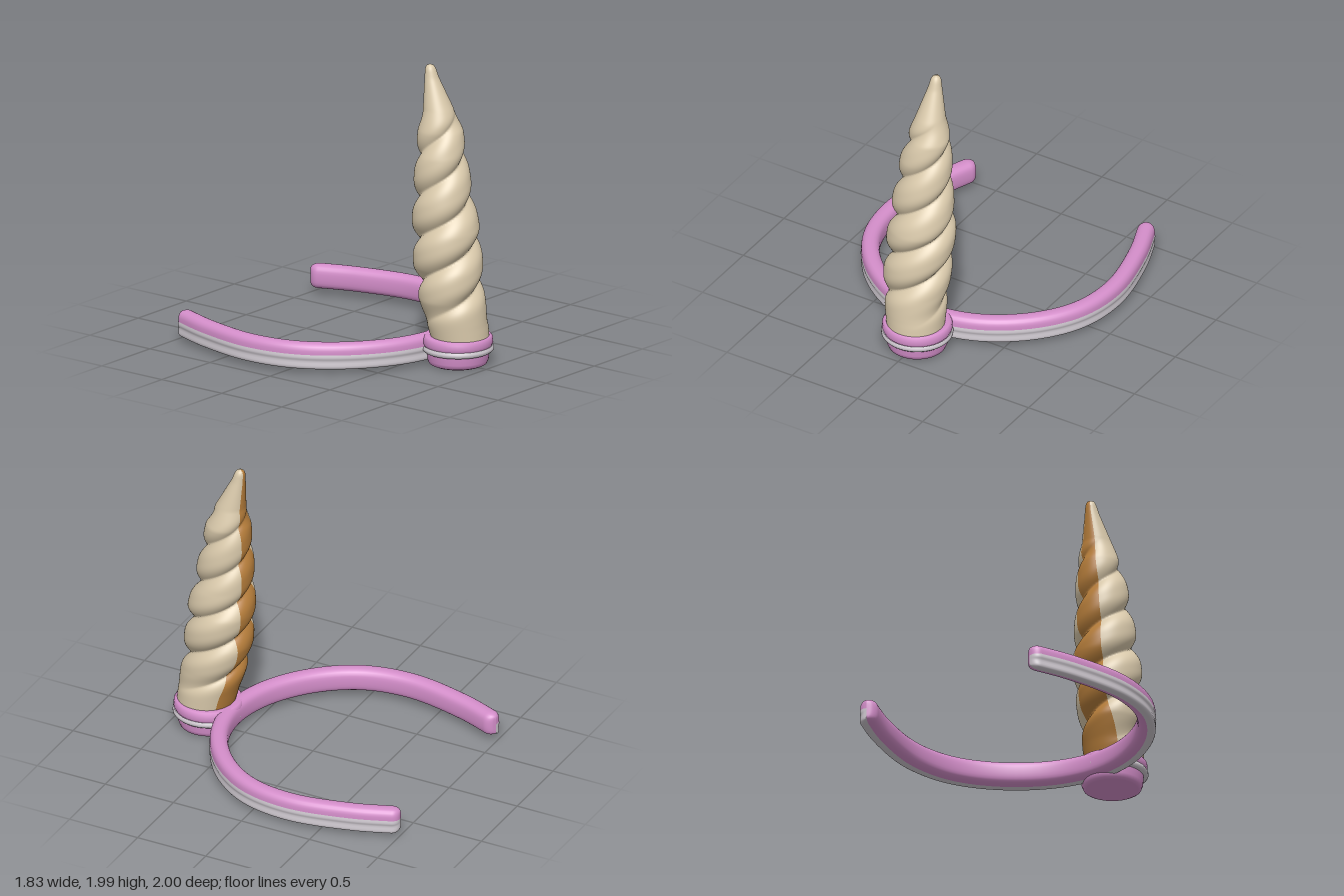
import * as THREE from 'three';

const mat = (name, color, side = THREE.FrontSide) => {
  const m = new THREE.MeshStandardMaterial({ color, side });
  m.name = name;
  return m;
};

// Grid surface: fn(u, v) -> [x, y, z]; the outside is du x dv.
function surface(nu, nv, fn) {
  const pos = [], idx = [];
  for (let j = 0; j <= nv; j++) for (let i = 0; i <= nu; i++) pos.push(...fn(i / nu, j / nv));
  for (let j = 0; j < nv; j++) for (let i = 0; i < nu; i++) {
    const a = j * (nu + 1) + i, b = a + nu + 1;
    idx.push(a, a + 1, b + 1, a, b + 1, b);
  }
  const g = new THREE.BufferGeometry();
  g.setAttribute('position', new THREE.Float32BufferAttribute(pos, 3));
  g.setIndex(idx);
  g.computeVertexNormals();
  return g;
}

// Horn stations: height, centre x, centre z, radius
const HORN = [
  [0.18, 0, 0.785, 0.19], [0.3, -0.01, 0.765, 0.202], [0.45, -0.025, 0.735, 0.218],
  [0.65, -0.025, 0.705, 0.228], [0.9, -0.015, 0.68, 0.225], [1.1, -0.02, 0.66, 0.201],
  [1.4, -0.012, 0.635, 0.17], [1.56, 0, 0.62, 0.148], [1.7, 0, 0.602, 0.1],
  [1.9, 0, 0.547, 0.047], [1.96, 0, 0.536, 0.035], [1.98, 0, 0.534, 0.024], [1.99, 0, 0.533, 0.001],
];
const smooth = THREE.MathUtils.smoothstep;

function hornPoint(theta, y) {
  let k = 0;
  while (k < HORN.length - 2 && y > HORN[k + 1][0]) k++;
  const A = HORN[k], B = HORN[k + 1], f = (y - A[0]) / (B[0] - A[0]);
  const [cx, cz, R] = [1, 2, 3].map((n) => A[n] + (B[n] - A[n]) * f);
  // Two grooves wind up the horn and fade out at the foot and the tip
  const phase = theta - ((y - 1.34) * Math.PI) / 0.28;
  const fade = smooth(y, 0.24, 0.5) * (1 - smooth(y, 1.56, 1.72));
  const r = R * (1 - 0.25 * fade * Math.pow(1 - Math.abs(Math.sin(phase)), 1.5));
  return [cx + r * Math.sin(theta), y, cz + r * Math.cos(theta)];
}

// Half width of the stripe down the back, wider at the foot
const stripeHalf = (y) => 0.5 + 0.28 * (1 - smooth(y, 0.25, 0.6));
const hornHeight = (v) => 0.18 + 1.81 * v;

// Headband centre line (x, z) from the right end round the front to the left end
const half = [[0.665, -0.995], [0.775, -0.69], [0.85, -0.27], [0.79, 0.06], [0.6, 0.33], [0.31, 0.525]];
const band = new THREE.CatmullRomCurve3([
  ...half.map(([x, z]) => new THREE.Vector3(-x, 0, z)),
  new THREE.Vector3(0, 0, 0.59),
  ...half.slice().reverse().map(([x, z]) => new THREE.Vector3(x, 0, z)),
]);

// Sweeps a section of (outward offset, height) points along the headband
function bandStrip(section, steps) {
  const curve = new THREE.SplineCurve(section.map((p) => new THREE.Vector2(...p)));
  const L = band.getLength();
  return surface(140, steps, (u, v) => {
    // rows are packed closer near the rounded ends
    const t = u - Math.sin(2 * Math.PI * u) / (2 * Math.PI) * 0.9;
    const p = band.getPointAt(t), d = band.getTangentAt(t), s = curve.getPoint(v);
    const e = Math.min(1, (Math.min(t, 1 - t) * L) / 0.06);
    const k = Math.sqrt(Math.max(0, 1 - (1 - e) ** 2));
    const off = s.x * k;
    return [p.x - d.z * off, 0.12 + (s.y - 0.12) * (0.6 + 0.4 * k), p.z + d.x * off];
  });
}

export function createModel() {
  const group = new THREE.Group();
  const cream = mat('cream', 0xd9c9ab);
  const brown = mat('brown', 0xb47c3a);
  const pink = mat('pink', 0xd48eca, THREE.DoubleSide);
  const grey = mat('pale grey', 0xcdc7ce, THREE.DoubleSide);
  const add = (name, geo, material) => {
    const m = new THREE.Mesh(geo, material);
    m.name = name;
    group.add(m);
    return m;
  };

  // Twisted horn with a darker stripe at the back
  add('horn', surface(90, 150, (u, v) => {
    const y = hornHeight(v), w = Math.PI - stripeHalf(y);
    return hornPoint(-w + 2 * w * u, y);
  }), cream);
  add('hornBackStripe', surface(20, 150, (u, v) => {
    const y = hornHeight(v), w = stripeHalf(y);
    return hornPoint(Math.PI - w + 2 * w * u, y);
  }), brown);

  // Open headband: pink top and inside, pale outer side
  add('headband', bandStrip([
    [0.06, 0.13], [0.056, 0.17], [0.03, 0.198], [-0.02, 0.2], [-0.052, 0.175],
    [-0.06, 0.125], [-0.054, 0.07], [-0.03, 0.045], [0.005, 0.037],
  ], 24), pink);
  add('headbandOuterSide', bandStrip([
    [0.005, 0.037], [0.038, 0.03], [0.06, 0.045], [0.056, 0.085], [0.063, 0.108], [0.06, 0.13],
  ], 15), grey);

  // Round foot under the horn, in three bands
  const lathe = (name, pts, material) => {
    add(name, new THREE.LatheGeometry(pts.map((p) => new THREE.Vector2(...p)), 48), material)
      .position.set(0, 0, 0.765);
  };
  lathe('footBottom', [[0, 0.008], [0.17, 0.002], [0.19, 0.012], [0.201, 0.04], [0.205, 0.098]], pink);
  lathe('footRing', [[0.2, 0.092], [0.225, 0.094], [0.235, 0.105], [0.235, 0.12], [0.226, 0.134]], grey);
  lathe('footTop', [[0.222, 0.132], [0.23, 0.15], [0.228, 0.182], [0.216, 0.199], [0.19, 0.202], [0, 0.202]], pink);

  return group;
}
